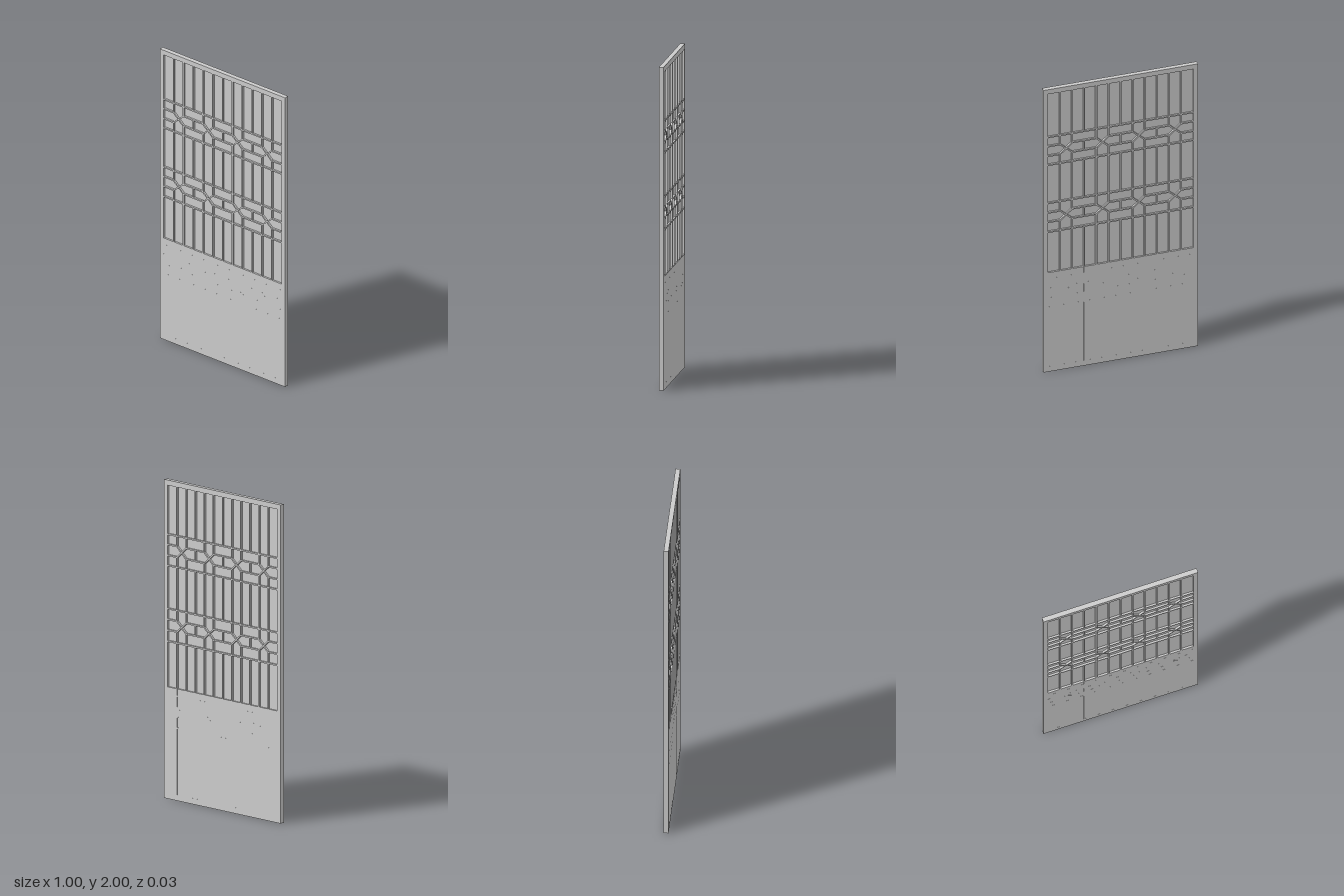
import * as THREE from 'three';

const W = 0.47;            // half width of the opening
const BOTTOM = 0.037, TOP = 1.968;
const DEPTH = 0.03;        // frame and lattice depth
const BAR = 0.009;         // lattice bar width
const COLS = 12;

const material = new THREE.MeshStandardMaterial({ color: 0xcccccc, flatShading: true });
const colX = (i) => -W + (2 * W * i) / COLS;

function box(parent, name, w, h, d, x, y) {
  const mesh = new THREE.Mesh(new THREE.BoxGeometry(w, h, d), material);
  mesh.name = name;
  mesh.position.set(x, y, 0);
  parent.add(mesh);
  return mesh;
}

// Straight lattice bar between two points in the door plane
function bar(parent, name, x1, y1, x2, y2) {
  const dx = x2 - x1, dy = y2 - y1;
  const mesh = box(parent, name, Math.hypot(dx, dy), BAR, DEPTH, (x1 + x2) / 2, (y1 + y2) / 2);
  mesh.rotation.z = Math.atan2(dy, dx);
}

// Ornamental band: two rails, short links, crossed diagonals and broken rails
function band(parent, rows) {
  const [a, b, c, d] = rows;
  const group = new THREE.Group();
  group.name = 'latticeBand';
  parent.add(group);
  for (const y of [a, d]) bar(group, 'rail', -W, y, W, y);
  let previous = -W;
  for (let i = 1; i < COLS; i += 3) {
    const l = colX(i), r = colX(i + 1);
    bar(group, 'diagonal', l, b, r, c);
    bar(group, 'diagonal', l, c, r, b);
    for (const x of [l, r]) {
      bar(group, 'link', x, a, x, b);
      bar(group, 'link', x, c, x, d);
    }
    for (const y of [b, c]) bar(group, 'brokenRail', previous, y, l, y);
    previous = r;
    if (i + 2 < COLS - 1) bar(group, 'centreLink', colX(i + 2), b, colX(i + 2), c);
  }
  for (const y of [b, c]) bar(group, 'brokenRail', previous, y, W, y);
}

// Full set of upright bars between two heights
function uprights(parent, y1, y2) {
  for (let i = 1; i < COLS; i++) bar(parent, 'upright', colX(i), y1, colX(i), y2);
}

export function createModel() {
  const door = new THREE.Group();
  door.name = 'latticeDoor';

  // Outer frame as one piece with a rectangular opening
  const shape = new THREE.Shape([[-0.5, 0], [0.5, 0], [0.5, 2], [-0.5, 2]].map((p) => new THREE.Vector2(...p)));
  shape.holes.push(new THREE.Path([[-W, BOTTOM], [-W, TOP], [W, TOP], [W, BOTTOM]].map((p) => new THREE.Vector2(...p))));
  const frameGeometry = new THREE.ExtrudeGeometry(shape, { depth: DEPTH, bevelEnabled: false });
  frameGeometry.translate(0, 0, -DEPTH / 2);
  const frame = new THREE.Mesh(frameGeometry, material);
  frame.name = 'frame';
  door.add(frame);

  // Thin pane behind the lattice and solid lower panel
  const panelTop = 0.702;
  box(door, 'pane', 2 * W, TOP - panelTop, 0.006, 0, (TOP + panelTop) / 2);
  box(door, 'lowerPanel', 2 * W, panelTop - BOTTOM, DEPTH - 0.0004, 0, (panelTop + BOTTOM) / 2);

  // Lattice, running on flush across the lower panel
  const lattice = new THREE.Group();
  lattice.name = 'lattice';
  door.add(lattice);
  const bands = [
    [1.66, 1.595, 1.527, 1.463],
    [1.192, 1.125, 1.058, 0.988],
    [0.655, 0.588, 0.52, 0.455],
  ];
  let upper = TOP;
  for (const rows of bands) {
    uprights(lattice, rows[0], upper);
    band(lattice, rows);
    upper = rows[3];
  }
  uprights(lattice, BOTTOM, upper);

  return door;
}
